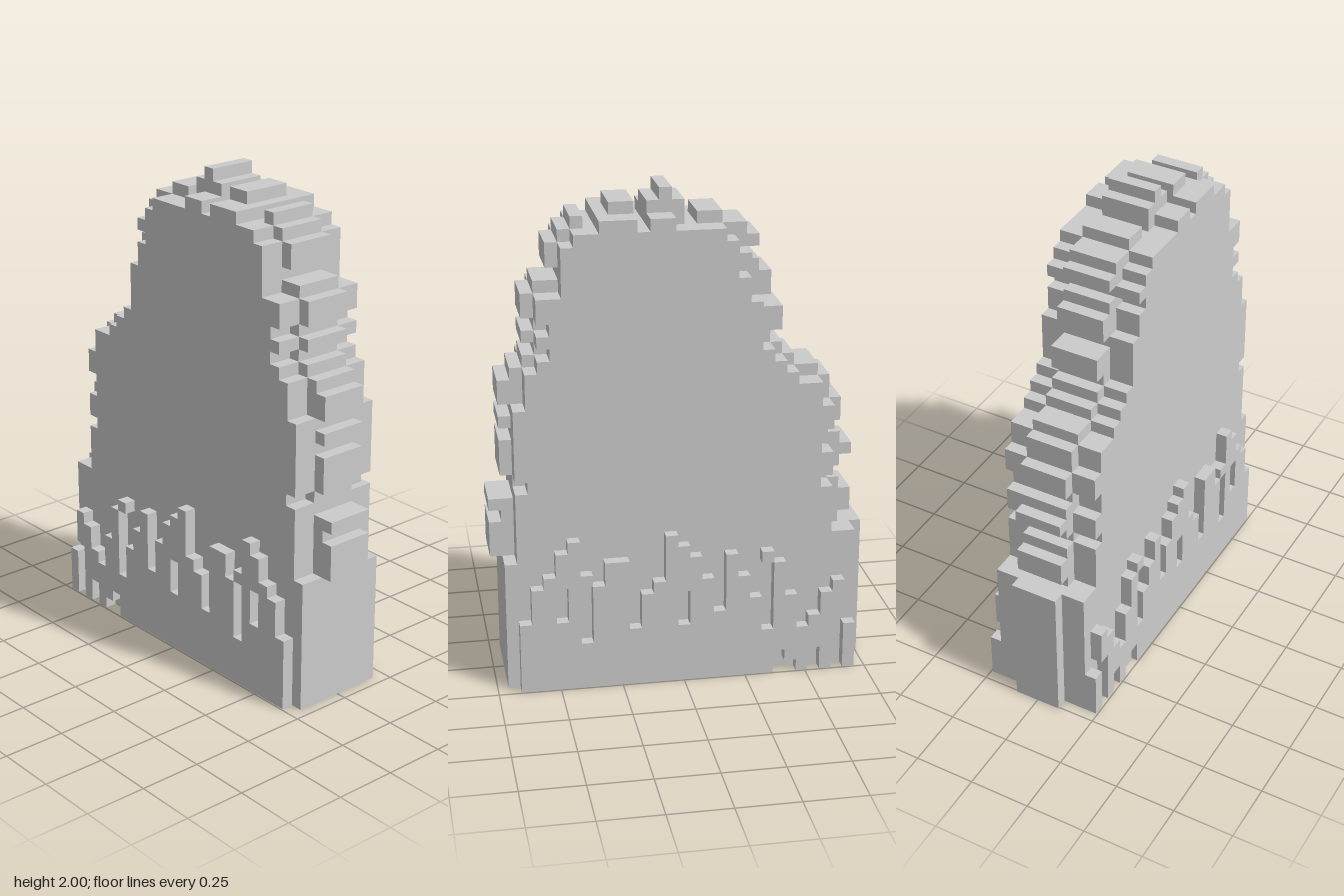
import * as THREE from 'three';

const V = 2 / 41;   // edge of one block
const COLS = 31;    // blocks across the full width

const material = new THREE.MeshStandardMaterial({ color: 0xcccccc, flatShading: true });

// expand [value, count] runs into one entry per row
const runs = (...list) => list.flatMap(([value, count]) => Array(count).fill(value));

// closed stepped outline from low / high limits of successive rows (or columns)
function stepShape(lo, hi, start, byColumn) {
  const a = [], b = [];
  lo.forEach((l, i) => {
    const k = start + i;
    a.push([l, k], [l, k + 1]);
    b.push([hi[i], k], [hi[i], k + 1]);
  });
  const path = [...a, ...b.reverse()]
    .filter((p, i, all) => i === 0 || p[0] !== all[i - 1][0] || p[1] !== all[i - 1][1])
    .map(([u, k]) => (byColumn ? [k, u] : [u, k]))
    .map(([c, r]) => new THREE.Vector2((c - COLS / 2) * V, r * V));
  return new THREE.Shape(path);
}

// extrude a shape between two depths, given in blocks
function slab(name, shape, z0, z1) {
  const geo = new THREE.ExtrudeGeometry(shape, { depth: (z1 - z0) * V, bevelEnabled: false });
  geo.translate(0, 0, z0 * V);
  const mesh = new THREE.Mesh(geo, material);
  mesh.name = name;
  return mesh;
}

// rectangular group of blocks: columns c0..c1, rows r0..r1, depths z0..z1
function block(name, [c0, c1, r0, r1], z0, z1) {
  const geo = new THREE.BoxGeometry((c1 - c0) * V, (r1 - r0) * V, (z1 - z0) * V);
  geo.translate(((c0 + c1 - COLS) / 2) * V, ((r0 + r1) / 2) * V, ((z0 + z1) / 2) * V);
  const mesh = new THREE.Mesh(geo, material);
  mesh.name = name;
  return mesh;
}

export function createModel() {
  const model = new THREE.Group();
  model.name = 'blockStone';

  // thin centre layer whose ragged edge sticks out all round
  const coreLeft = runs([0, 12], [2, 1], [1, 2], [2, 1], [3, 1], [2, 1], [1, 1], [2, 1], [3, 1],
    [2, 2], [3, 2], [4, 1], [6, 1], [7, 1], [8, 1], [7, 2], [9, 1], [8, 2], [9, 1], [10, 1], [9, 1], [10, 1]);
  const coreRight = runs([30, 11], [31, 3], [30, 1], [31, 1], [29, 2], [30, 3], [29, 1], [30, 1], [29, 1],
    [30, 2], [29, 1], [28, 1], [27, 1], [28, 1], [27, 1], [28, 2], [27, 1], [25, 1], [26, 2], [25, 1]);
  model.add(slab('coreLayer', stepShape(coreLeft, coreRight, 0), -2, 2));

  // thick main layer
  const bodyLeft = runs([1, 12], [3, 4], [4, 1], [3, 2], [4, 2], [3, 2], [4, 2], [6, 1], [7, 1], [8, 1],
    [9, 4], [10, 2], [11, 1], [10, 1], [11, 1], [12, 1]);
  const bodyRight = runs([30, 11], [29, 6], [28, 1], [29, 6], [28, 3], [27, 1], [26, 1], [27, 1], [26, 1],
    [27, 2], [25, 4], [24, 1]);
  model.add(slab('bodyLayer', stepShape(bodyLeft, bodyRight, 0), -4, 4));

  // uneven blocks along the crown
  for (const b of [[12, 14, 38, 39], [15, 18, 38, 40], [16, 17, 40, 41], [19, 21, 38, 40], [23, 24, 38, 39]])
    model.add(block('crownBlock', b, -2, 2));
  for (const b of [[16, 18, 38, 39], [19, 22, 38, 39]])
    model.add(block('crownShoulder', b, -4, 4));

  // jagged facing on the lower front and back
  const skirtTop = [7, 5, 4, 7, 10, 4, 7, 9, 11, 6, 9, 11, 5, 13, 9, 8, 5, 11, 11, 9, 4, 13, 6, 10, 9, 6];
  const skirtBottom = skirtTop.map((_, i) => [0, 2, 0, 1, 2][i] ?? 0);
  const skirtShape = stepShape(skirtBottom, skirtTop, 3, true);
  const looseBlocks = [[1, 2, 0, 4], [2, 3, 5, 8], [8, 9, 10, 11], [15, 16, 8, 12], [23, 24, 9, 10], [25, 26, 9, 12]];
  for (const [side, z0, z1] of [['front', 4, 5], ['back', -5, -4]]) {
    model.add(slab(side + 'Skirt', skirtShape, z0, z1));
    for (const b of looseBlocks) model.add(block(side + 'SkirtBlock', b, z0, z1));
  }
  return model;
}
